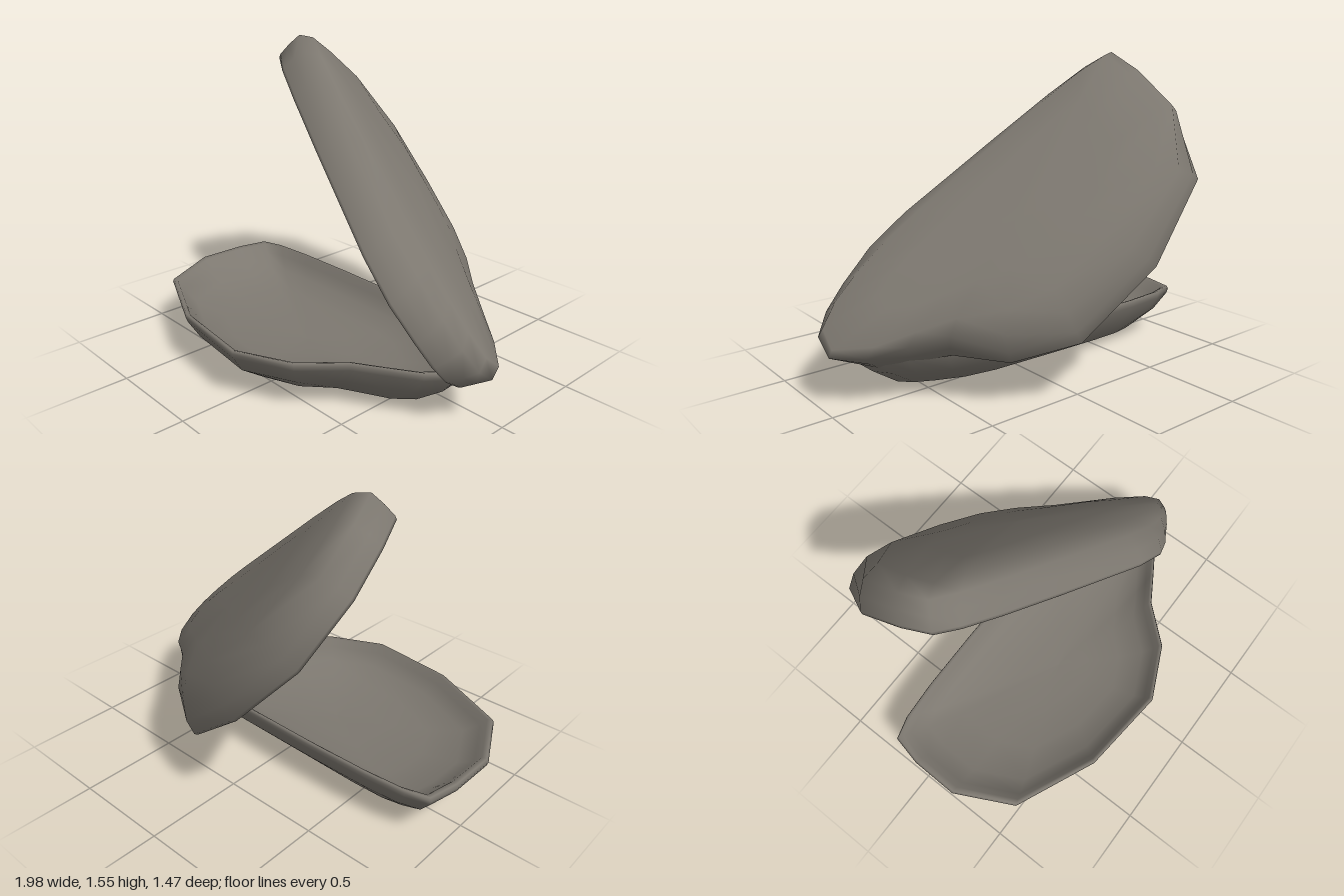
import * as THREE from 'three';

// Rim outline of one valve: x, z and how full the wall is there; the narrow end is the hinge
const OUTLINE = [
  [-0.96, -0.21, 1.2], [-0.995, -0.05, 1.1], [-1, 0.2, 0.95], [-0.85, 0.5, 0.5], [-0.43, 0.69, 0.12],
  [0.03, 0.74, 0.1], [0.31, 0.61, 0.35], [0.48, 0.42, 0.7], [0.63, 0.33, 0.9], [0.76, 0.25, 1.15],
  [0.85, 0.14, 1.35], [0.845, 0.03, 1.3], [0.79, -0.05, 1.1], [0.69, -0.12, 0.9], [0.53, -0.21, 0.6],
  [0.3, -0.255, 0.5], [-0.28, -0.264, 0.7], [-0.63, -0.26, 0.9], [-0.84, -0.245, 1.05],
];
const CENTRE = [-0.08, 0.2];

// Wall sections from outer middle to rim: scale where gentle, scale where full, depth below rim
const LOWER_WALL = [
  [0, 0, 0.265], [0.2, 0.48, 0.262], [0.63, 0.73, 0.225], [0.89, 0.91, 0.125],
  [0.985, 0.99, 0.04], [1, 1, 0.015],
];
const UPPER_WALL = [
  [0, 0, 0.225], [0.3, 0.6, 0.222], [0.6, 0.9, 0.2], [0.8, 0.98, 0.15],
  [0.94, 1, 0.08], [1, 1, 0.015],
];
// Rim and inner face, shared by both valves
const LINING = [
  [0.99, 0.99, 0], [0.96, 0.96, 0.005], [0.92, 0.92, 0.045], [0.82, 0.82, 0.105],
  [0.6, 0.6, 0.15], [0.3, 0.3, 0.17], [0, 0, 0.175],
];

// Sweep the scaled outline through the wall section
function valveGeometry(outerWall) {
  const wall = [...outerWall, ...LINING];
  const n = OUTLINE.length;
  const positions = [];
  const index = [];
  wall.forEach(([gentle, full, depth], i) => {
    OUTLINE.forEach(([x, z, fullness], j) => {
      const s = gentle + (full - gentle) * fullness;
      positions.push(CENTRE[0] + (x - CENTRE[0]) * s, -depth, CENTRE[1] + (z - CENTRE[1]) * s);
      if (i === wall.length - 1) return;
      const a = i * n + j;
      const b = i * n + ((j + 1) % n);
      if (gentle > 0) index.push(a, b, a + n);
      if (wall[i + 1][0] > 0) index.push(b, b + n, a + n);
    });
  });
  const geometry = new THREE.BufferGeometry();
  geometry.setAttribute('position', new THREE.Float32BufferAttribute(positions, 3));
  geometry.setIndex(index);
  geometry.computeVertexNormals();
  return geometry;
}

export function createModel() {
  const model = new THREE.Group();
  model.name = 'openShell';
  const shell = new THREE.MeshStandardMaterial({ name: 'shellGrey', color: 0x7d7870 });

  // Lower valve rests on the ground
  const lower = new THREE.Mesh(valveGeometry(LOWER_WALL), shell);
  lower.name = 'lowerValve';
  lower.position.y = 0.265;
  model.add(lower);

  // Upper valve is swung open and twisted about the hinge
  const upper = new THREE.Mesh(valveGeometry(UPPER_WALL), shell);
  upper.name = 'upperValve';
  const along = new THREE.Vector3(0.785, -0.56, 0.266).normalize();
  const outward = new THREE.Vector3(0.605, 0.625, -0.493);
  const across = outward.clone().cross(along).normalize();
  const inward = across.clone().cross(along);
  upper.quaternion.setFromRotationMatrix(new THREE.Matrix4().makeBasis(along, inward, across));
  upper.scale.setScalar(1.05);
  upper.position.set(0.16, 0.755, 0.008);
  model.add(upper);

  return model;
}
